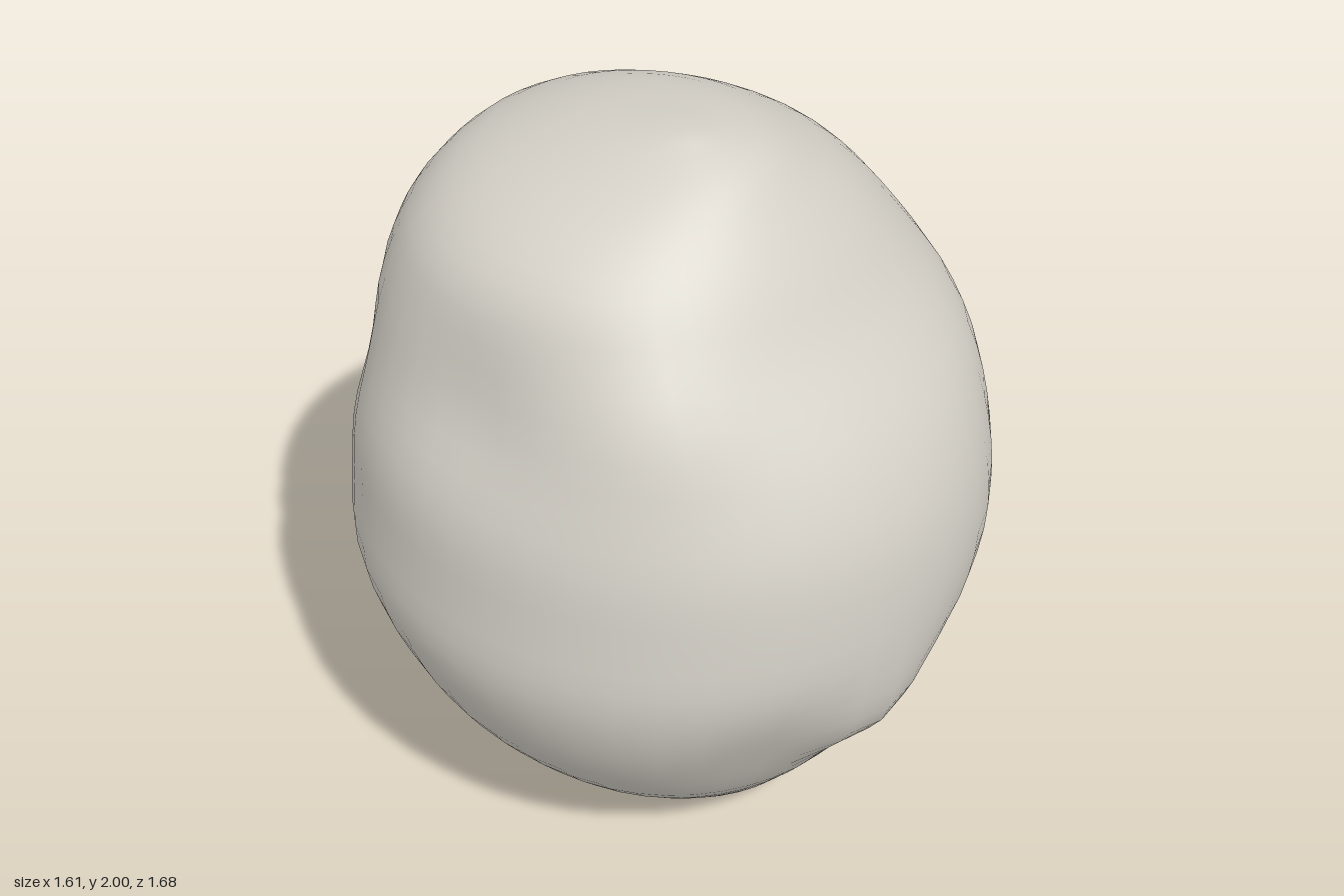
import * as THREE from 'three';
import { mergeVertices } from 'three/addons/utils/BufferGeometryUtils.js';

// Cross-sections from bottom to top: y, xMin, xMax, zMin, zMax
const SECTIONS = [
  [0, 0.08, 0.08, 0, 0],
  [0.02, -0.12, 0.2, -0.16, 0.18],
  [0.06, -0.25, 0.29, -0.26, 0.36],
  [0.2, -0.46, 0.48, -0.43, 0.49],
  [0.4, -0.64, 0.62, -0.63, 0.64],
  [0.6, -0.75, 0.69, -0.75, 0.77],
  [0.8, -0.81, 0.75, -0.82, 0.83],
  [1.0, -0.8, 0.8, -0.835, 0.84],
  [1.2, -0.78, 0.78, -0.83, 0.81],
  [1.4, -0.72, 0.73, -0.79, 0.72],
  [1.6, -0.66, 0.61, -0.68, 0.57],
  [1.75, -0.59, 0.48, -0.57, 0.47],
  [1.86, -0.45, 0.33, -0.45, 0.38],
  [1.95, -0.24, 0.15, -0.21, 0.28],
  [2.0, -0.08, -0.08, 0.13, 0.13],
];

// Hollows and swellings: centre x, y, z, reach, depth (negative swells)
const DENTS = [
  [-0.44, 1.3, -0.55, 0.2, 0.06],
  [-0.65, 1.47, 0.05, 0.18, 0.04],
  [-0.45, 1.5, 0.42, 0.2, -0.04],
  [0.75, 1.22, 0.06, 0.16, 0.035],
  [0.74, 0.9, 0.2, 0.18, 0.03],
  [0.79, 1.0, -0.2, 0.14, -0.015],
  [0.7, 0.65, -0.1, 0.15, 0.015],
  [0.4, 1.7, -0.4, 0.2, 0.035],
  [0.48, 0.5, -0.5, 0.25, -0.03],
  [-0.08, 0.65, -0.76, 0.18, 0.025],
  [-0.05, 0.65, 0.78, 0.16, -0.03],
  [0.25, 0.53, 0.64, 0.19, 0.05],
  [-0.3, 0.6, 0.68, 0.18, 0.03],
  [0.56, 1.0, 0.56, 0.25, 0.015],
];

function rockGeometry(rows = 44, sides = 48) {
  const curve = (a, b) => new THREE.CatmullRomCurve3(
    SECTIONS.map((s) => new THREE.Vector3(s[a], s[0], s[b])), false, 'catmullrom', 0.5);
  const xs = curve(1, 2), zs = curve(3, 4);
  const middle = new THREE.Vector3(0, 1, 0);
  const positions = [], index = [];

  for (let i = 0; i <= rows; i++) {
    const x = xs.getPoint(i / rows), z = zs.getPoint(i / rows);
    for (let j = 0; j < sides; j++) {
      const a = (j / sides) * Math.PI * 2;
      const p = new THREE.Vector3(
        (x.x + x.z) / 2 + Math.cos(a) * (x.z - x.x) / 2,
        x.y,
        (z.x + z.z) / 2 + Math.sin(a) * (z.z - z.x) / 2);
      // Press each hollow towards the middle of the rock
      const inward = middle.clone().sub(p).normalize();
      let push = 0;
      for (const [dx, dy, dz, reach, depth] of DENTS) {
        const d2 = (p.x - dx) ** 2 + (p.y - dy) ** 2 + (p.z - dz) ** 2;
        push += depth * Math.exp(-d2 / (reach * reach));
      }
      p.addScaledVector(inward, push);
      positions.push(p.x, p.y, p.z);

      if (i < rows) {
        const k = (j + 1) % sides;
        const p0 = i * sides + j, p1 = i * sides + k;
        index.push(p0, p0 + sides, p1, p1, p0 + sides, p1 + sides);
      }
    }
  }
  let geometry = new THREE.BufferGeometry();
  geometry.setAttribute('position', new THREE.Float32BufferAttribute(positions, 3));
  geometry.setIndex(index);
  geometry = mergeVertices(geometry, 1e-5); // closes both poles
  geometry.computeVertexNormals();
  return geometry;
}

export function createModel() {
  const stone = new THREE.MeshStandardMaterial({ color: 0xd5d1c8 });
  stone.name = 'stone grey';

  const group = new THREE.Group();
  group.name = 'boulder';
  const rock = new THREE.Mesh(rockGeometry(), stone);
  rock.name = 'rock';
  group.add(rock);
  return group;
}
